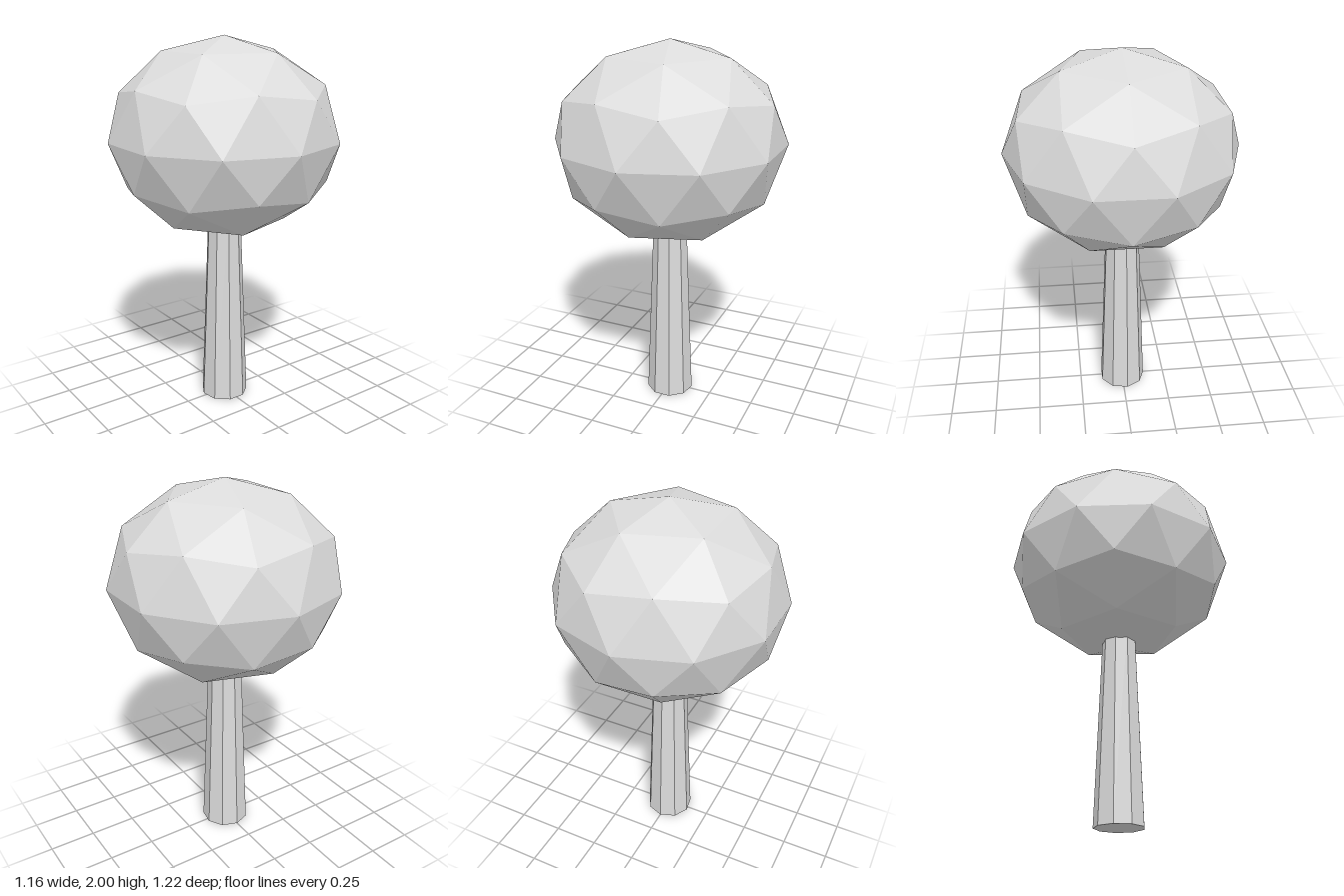
import * as THREE from 'three';

export function createModel() {
  const group = new THREE.Group();
  group.name = 'tree';

  const paleGrey = new THREE.MeshStandardMaterial({ color: 0xdcdcdc, flatShading: true });
  paleGrey.name = 'paleGrey';

  // Faceted crown: icosphere turned so one corner points up, then flattened
  const crownGeometry = new THREE.IcosahedronGeometry(1, 1);
  crownGeometry.rotateZ(-Math.atan2(1, (1 + Math.sqrt(5)) / 2));
  crownGeometry.scale(0.61, 0.52, 0.61);
  const crown = new THREE.Mesh(crownGeometry, paleGrey);
  crown.name = 'crown';
  crown.position.y = 1.48;

  // Tapered nine-sided trunk with a corner at the back
  const trunkHeight = 1.02;
  const trunk = new THREE.Mesh(
    new THREE.CylinderGeometry(0.091, 0.13, trunkHeight, 9, 1, false, Math.PI),
    paleGrey
  );
  trunk.name = 'trunk';
  trunk.position.y = trunkHeight / 2;

  group.add(crown, trunk);
  return group;
}
